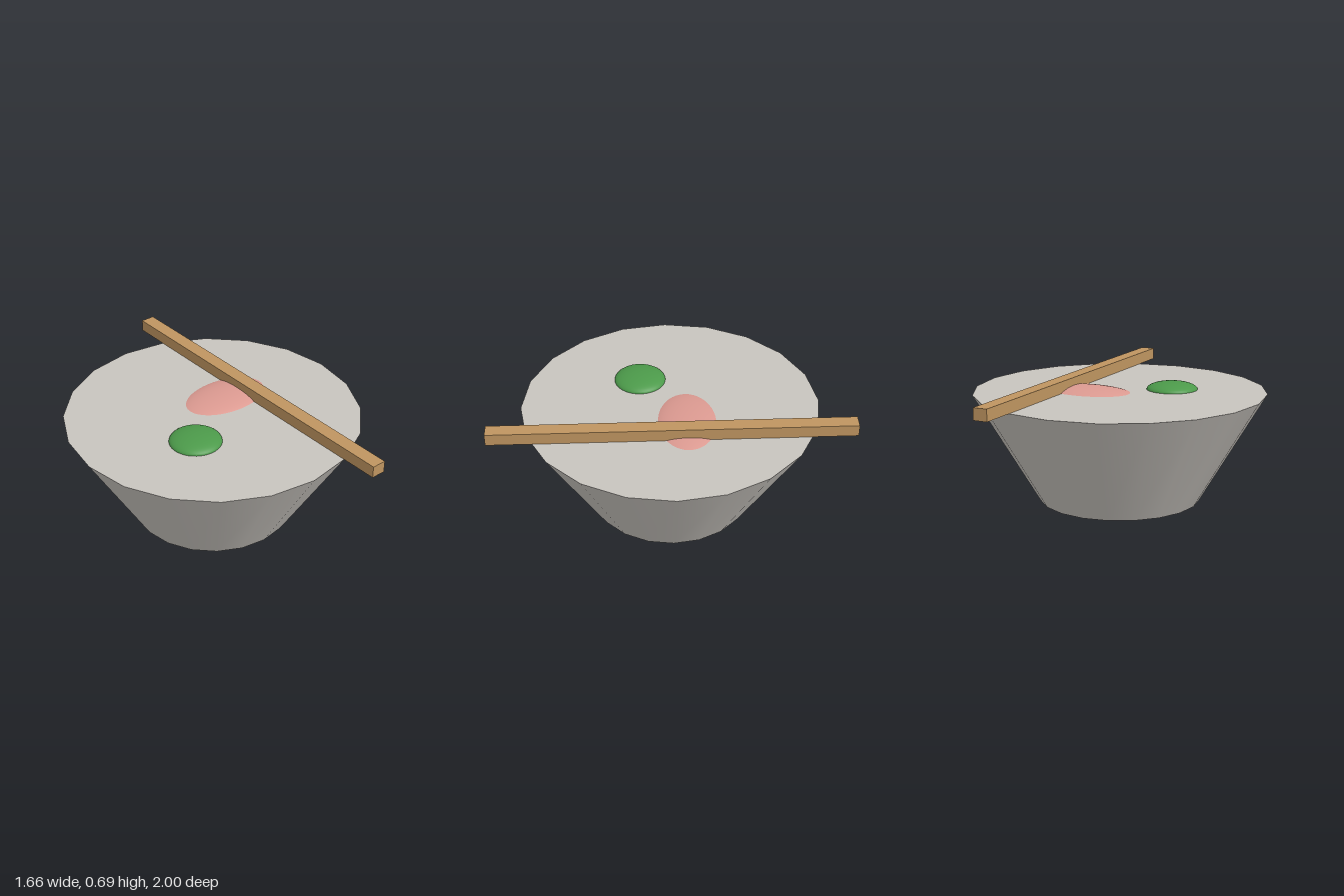
import * as THREE from 'three';

const material = (name, color) => {
  const m = new THREE.MeshStandardMaterial({ color });
  m.name = name;
  return m;
};

export function createModel() {
  const group = new THREE.Group();
  group.name = 'bowlOfFood';

  const stone = material('warm grey', 0xc8c4be);
  const green = material('leaf green', 0x4c9a4a);
  const pink = material('salmon pink', 0xdc9a91);
  const wood = material('light wood', 0xbf9560);

  const add = (name, geometry, mat, x, y, z) => {
    const mesh = new THREE.Mesh(geometry, mat);
    mesh.name = name;
    mesh.position.set(x, y, z);
    group.add(mesh);
    return mesh;
  };

  // Tapered bowl, filled level with its rim
  const rimY = 0.626;
  add('bowl', new THREE.CylinderGeometry(0.83, 0.46, rimY, 20), stone, 0, rimY / 2, 0);

  // Flattened pieces of food, half sunk into the filling
  const ball = new THREE.SphereGeometry(1, 40, 24);
  add('greenGarnish', ball, green, -0.25, rimY, 0.163).scale.set(0.145, 0.042, 0.145);
  add('pinkSlice', ball, pink, 0.162, 0.6, -0.085).scale.set(0.3, 0.05, 0.187);

  // Square stick resting across the rim
  add('stick', new THREE.BoxGeometry(0.082, 0.067, 2), wood, 0.29, rimY + 0.0335, 0);

  return group;
}
